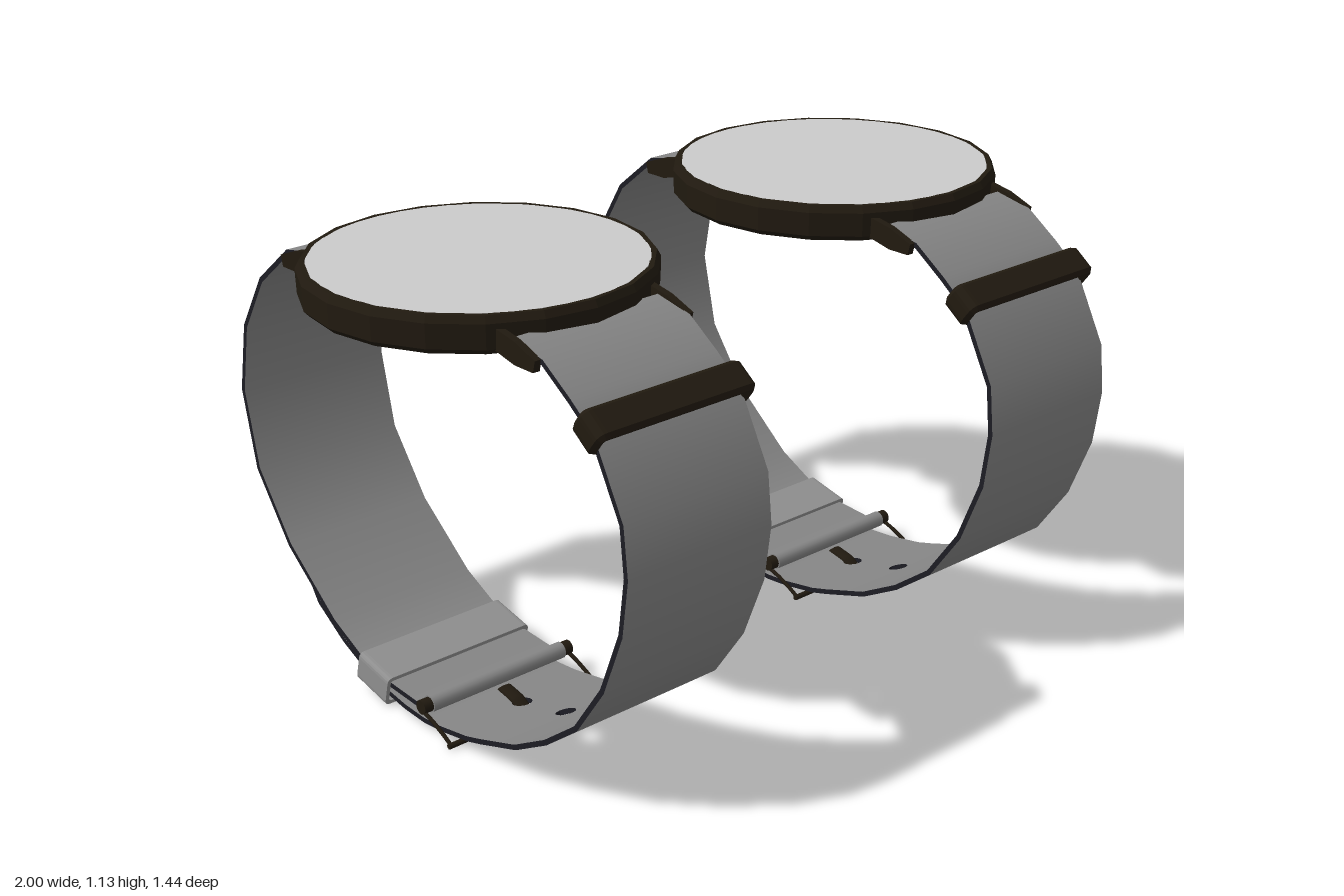
import * as THREE from 'three';
import { mergeGeometries } from 'three/addons/utils/BufferGeometryUtils.js';

const dialGrey = new THREE.MeshStandardMaterial({ color: 0xcccccc });
const leather = new THREE.MeshStandardMaterial({ color: 0x868686 });
const leatherEdge = new THREE.MeshStandardMaterial({ color: 0x1c1c24 });
const keeperGrey = new THREE.MeshStandardMaterial({ color: 0x909090 });
const dark = new THREE.MeshStandardMaterial({ color: 0x211a10 });

const WIDTH = 0.205, THICK = 0.013, CZ = -0.01;

function add(parent, name, geometry, material) {
  const mesh = new THREE.Mesh(geometry, material);
  mesh.name = name;
  parent.add(mesh);
  return mesh;
}

// Bends a flat band along a side profile of [z, y, halfWidth, holeInNextCell];
// material group 0 is the faces, group 1 the cut edges
function strapGeometry(points) {
  const P = points.map(p => new THREE.Vector2(p[0], p[1]));
  const tangents = P.map((p, i) => P[Math.min(i + 1, P.length - 1)].clone()
    .sub(P[Math.max(i - 1, 0)]).normalize());
  const cells = [];
  for (let i = 0; i < P.length - 1; i++) {
    const a = points[i][2] ?? WIDTH, b = points[i + 1][2] ?? WIDTH;
    const shape = new THREE.Shape();
    shape.moveTo(-a, 0).lineTo(a, 0).lineTo(b, 1).lineTo(-b, 1).closePath();
    if (points[i][3]) {
      const hole = new THREE.Path();
      hole.absellipse(0, 0.5, 0.025, 0.025 / P[i].distanceTo(P[i + 1]), 0, Math.PI * 2, true);
      shape.holes.push(hole);
    }
    const g = new THREE.ExtrudeGeometry(shape, { depth: THICK, bevelEnabled: false, curveSegments: 8 });
    const pos = g.attributes.position, nor = g.attributes.normal;
    for (let k = 0; k < pos.count; k++) {
      const u = pos.getY(k), w = pos.getZ(k) - THICK / 2;
      const c = P[i].clone().lerp(P[i + 1], u);
      const t = tangents[i].clone().lerp(tangents[i + 1], u).normalize();
      pos.setXYZ(k, pos.getX(k), c.y - t.x * w, c.x + t.y * w);
      const nu = nor.getY(k), nw = nor.getZ(k);
      nor.setXYZ(k, nor.getX(k), t.y * nu - t.x * nw, t.x * nu + t.y * nw);
    }
    cells.push(g);
  }
  const strap = mergeGeometries(cells);
  let offset = 0;
  for (const g of cells) {
    for (const { start, count, materialIndex } of g.groups) strap.addGroup(offset + start, count, materialIndex);
    offset += g.attributes.position.count;
  }
  return strap;
}

function roundedRect(target, w, h, r) {
  const x = w / 2, y = h / 2;
  target.moveTo(-x + r, -y).lineTo(x - r, -y).quadraticCurveTo(x, -y, x, -y + r)
    .lineTo(x, y - r).quadraticCurveTo(x, y, x - r, y)
    .lineTo(-x + r, y).quadraticCurveTo(-x, y, -x, y - r)
    .lineTo(-x, -y + r).quadraticCurveTo(-x, -y, -x + r, -y);
  return target;
}

// Hollow band that slides over the strap
function keeperGeometry(w, h, wall, depth, bevel) {
  const shape = roundedRect(new THREE.Shape(), w - bevel * 2, h - bevel * 2, 0.015);
  shape.holes.push(roundedRect(new THREE.Path(), w - wall * 2, h - wall * 2, 0.008));
  const g = new THREE.ExtrudeGeometry(shape, {
    depth: depth - bevel * 2, bevelEnabled: bevel > 0, bevelSize: bevel, bevelThickness: bevel,
    bevelSegments: 1, curveSegments: 4,
  });
  return g.translate(0, 0, bevel - depth / 2);
}

// Rod lying along x
function rod(radius, length, y, z, sides = 16) {
  return new THREE.CylinderGeometry(radius, radius, length, sides).rotateZ(Math.PI / 2).translate(0, y, z);
}

function wire(points, radius) {
  const curve = new THREE.CatmullRomCurve3(points.map(p => new THREE.Vector3(...p)), false, 'catmullrom', 0.2);
  return new THREE.TubeGeometry(curve, 16, radius, 8);
}

function createWatch() {
  const watch = new THREE.Group();
  watch.name = 'watch';

  // Round case with a stepped, recessed back
  const profile = [[0, 1.06], [0.29, 1.06], [0.3, 1.05], [0.395, 1.047], [0.407, 1.06],
    [0.409, 1.118], [0.4, 1.135], [0.388, 1.135], [0.385, 1.125], [0, 1.125]];
  const body = new THREE.LatheGeometry(profile.map(p => new THREE.Vector2(...p)), 20).toNonIndexed();
  body.computeVertexNormals();
  add(watch, 'case', body.translate(0, 0, CZ), dark);
  add(watch, 'dial', new THREE.CylinderGeometry(0.386, 0.386, 0.012, 40).translate(0, 1.129, CZ), dialGrey);

  // Crown on a flared neck
  const crown = [[0, 0.38], [0.034, 0.38], [0.033, 0.408], [0.022, 0.418], [0.028, 0.424],
    [0.029, 0.44], [0.02, 0.453], [0, 0.457]];
  add(watch, 'crown', new THREE.LatheGeometry(crown.map(p => new THREE.Vector2(...p)), 14)
    .rotateZ(-Math.PI / 2).translate(0, 1.074, CZ), dark);

  // Lugs and spring bars at both ends of the case
  const lug = new THREE.Shape([[0.467, 1.07], [0.46, 1.042], [0.4, 1.042], [0.32, 1.06], [0.32, 1.11], [0.4, 1.095]]
    .map(p => new THREE.Vector2(...p)));
  for (const end of [0, Math.PI]) {
    const pair = new THREE.Group();
    pair.name = end ? 'backLugs' : 'frontLugs';
    pair.rotation.y = end;
    pair.position.z = CZ;
    for (const side of [-1, 1]) {
      const g = new THREE.ExtrudeGeometry(lug, { depth: 0.018, bevelEnabled: false });
      add(pair, 'lug', g.rotateY(-Math.PI / 2).translate(side * 0.212 + 0.009, 0, 0), dark);
    }
    add(pair, 'springBar', rod(0.008, 0.42, 1.054, 0.44, 10), dark);
    watch.add(pair);
  }

  // Long strap with adjustment holes and a pointed tip
  add(watch, 'longStrap', strapGeometry([
    [0.36, 1.085], [0.46, 1.065], [0.546, 1.005], [0.616, 0.95], [0.705, 0.779], [0.717, 0.66], [0.698, 0.523],
    [0.636, 0.368], [0.546, 0.24], [0.44, 0.16], [0.33, 0.1, WIDTH, true], [0.2, 0.059],
    [0.15, 0.045, WIDTH, true], [0.05, 0.029], [-0.015, 0.024], [-0.09, 0.029], [-0.17, 0.043],
    [-0.25, 0.072], [-0.335, 0.112, WIDTH, true], [-0.435, 0.18], [-0.5, 0.232, 0.19, true],
    [-0.575, 0.303, 0.135], [-0.635, 0.38, 0.07], [-0.66, 0.416, 0.04], [-0.674, 0.438, 0.01],
  ]), [leather, leatherEdge]);

  // Short strap that carries the buckle
  add(watch, 'shortStrap', strapGeometry([
    [-0.38, 1.09], [-0.473, 1.073], [-0.597, 0.973], [-0.682, 0.833], [-0.714, 0.659], [-0.67, 0.461],
    [-0.55, 0.293], [-0.376, 0.149], [-0.267, 0.093], [-0.151, 0.066], [-0.005, 0.055],
  ]), [leather, leatherEdge]);

  // Sliding keepers
  const upper = add(watch, 'upperKeeper', keeperGeometry(0.446, 0.074, 0.014, 0.08, 0.01), dark);
  upper.position.set(0, 0.957, 0.613);
  upper.rotation.x = 0.65;
  const lower = add(watch, 'lowerKeeper', keeperGeometry(0.43, 0.08, 0.01, 0.118, 0), keeperGrey);
  lower.position.set(0, 0.059, -0.208);
  lower.rotation.x = 0.23;

  // Buckle: rolled strap end, pin, thin frame and flat prong
  add(watch, 'strapRoll', rod(0.021, 0.4, 0.073, 0.002), leather);
  add(watch, 'bucklePin', rod(0.018, 0.45, 0.073, 0.002), dark);
  for (const side of [-1, 1]) {
    const x = side * 0.22;
    add(watch, 'buckleArm', wire([[x, 0.06, 0.01], [x, 0.05, 0.04], [x, 0.032, 0.08], [x, 0.015, 0.11]], 0.005), dark);
  }
  add(watch, 'buckleBar', rod(0.007, 0.455, 0.015, 0.11, 8), dark);
  add(watch, 'prong', wire([[0, 0.056, 0.03], [0, 0.045, 0.08], [0, 0.022, 0.115], [0, 0.016, 0.147]], 0.005)
    .scale(4, 1, 1), dark);
  return watch;
}

export function createModel() {
  const model = new THREE.Group();
  model.name = 'watchPair';
  for (const x of [-0.593, 0.541]) {
    const watch = createWatch();
    watch.position.x = x;
    model.add(watch);
  }
  return model;
}
